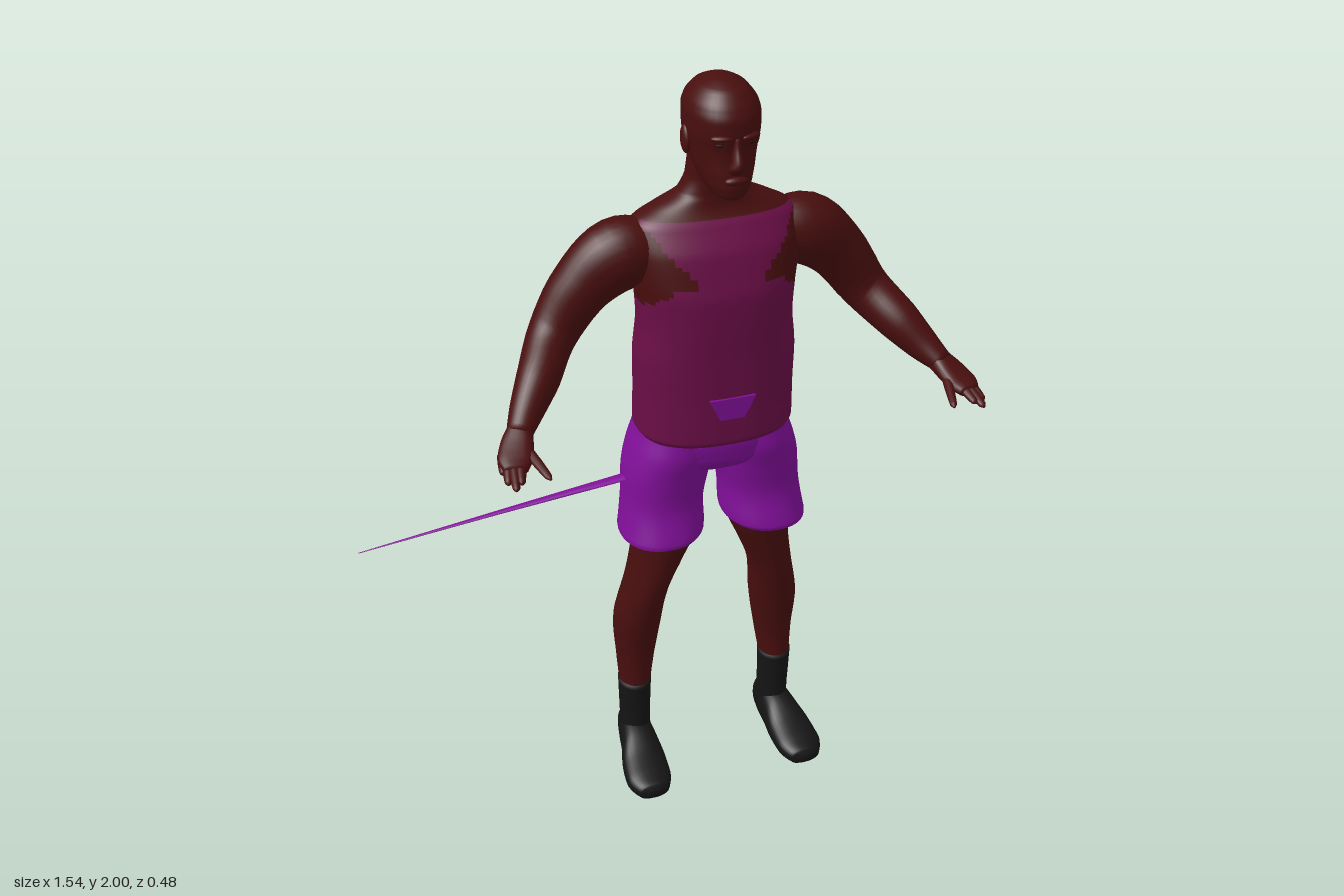
import * as THREE from 'three';

const mat = (name, color) =>
  Object.assign(new THREE.MeshStandardMaterial({ color, side: THREE.DoubleSide }), { name });

// Skin a smooth run of superellipse sections. Rows: [x, y, z, radiusA, radiusB].
// axis 'y': radii are x and z; axis 'z': radii are x and y; otherwise the path tangent is used.
function sweep(rows, { axis = '', n = 24, per = 5, p = 2, caps = true, pick = null } = {}) {
  const path = new THREE.CatmullRomCurve3(rows.map(r => new THREE.Vector3(r[0], r[1], r[2])));
  const size = new THREE.CatmullRomCurve3(rows.map(r => new THREE.Vector3(r[3], r[4], 0)));
  const steps = (rows.length - 1) * per;
  const pos = [], lists = [[], []];
  const X = new THREE.Vector3(1, 0, 0), Y = new THREE.Vector3(0, 1, 0), Z = new THREE.Vector3(0, 0, 1);
  const se = v => Math.sign(v) * Math.abs(v) ** (2 / p);
  for (let i = 0; i <= steps; i++) {
    const c = path.getPoint(i / steps), s = size.getPoint(i / steps);
    let A = X, B = Y, ra = s.x, rb = s.y;
    if (axis === 'y') { A = Z; B = X; ra = s.y; rb = s.x; }
    else if (axis !== 'z') {
      const d = path.getTangent(i / steps);
      A = new THREE.Vector3().crossVectors(Y, d).normalize();
      B = new THREE.Vector3().crossVectors(d, A);
    }
    for (let j = 0; j < n; j++) {
      const t = j / n * Math.PI * 2;
      const v = c.clone().addScaledVector(A, ra * se(Math.cos(t))).addScaledVector(B, rb * se(Math.sin(t)));
      pos.push(v.x, v.y, v.z);
    }
  }
  const at = k => new THREE.Vector3().fromArray(pos, k * 3);
  for (let i = 0; i < steps; i++) for (let j = 0; j < n; j++) {
    const a = i * n + j, b = i * n + (j + 1) % n, c = b + n, d = a + n;
    const mid = at(a).add(at(c)).multiplyScalar(0.5);
    lists[pick ? pick(mid) : 0].push(a, b, c, a, c, d);
  }
  if (caps) {
    const k = pos.length / 3, e = steps * n;
    pos.push(...path.getPoint(0).toArray(), ...path.getPoint(1).toArray());
    for (let j = 0; j < n; j++) {
      const q = (j + 1) % n;
      lists[0].push(k, q, j, k + 1, e + j, e + q);
    }
  }
  const g = new THREE.BufferGeometry();
  g.setAttribute('position', new THREE.Float32BufferAttribute(pos, 3));
  g.setIndex([...lists[0], ...lists[1]]);
  if (pick) {
    g.addGroup(0, lists[0].length, 0);
    g.addGroup(lists[0].length, lists[1].length, 1);
  }
  g.computeVertexNormals();
  return g;
}

export function createModel() {
  const skin = mat('skin', 0x480e0e), shirt = mat('shirt', 0x6a0e46);
  const purple = mat('shorts', 0x800f98), black = mat('black', 0x141414);
  const model = new THREE.Group();
  model.name = 'man';
  const body = new THREE.Group();
  body.name = 'body';
  body.position.x = 0.155;
  model.add(body);
  const add = (name, geo, m, parent = body) => {
    const mesh = new THREE.Mesh(geo, m);
    mesh.name = name;
    parent.add(mesh);
    return mesh;
  };
  const ball = (name, m, x, y, z, sx, sy, sz) => {
    const b = add(name, new THREE.SphereGeometry(1, 20, 14), m);
    b.position.set(x, y, z);
    b.scale.set(sx, sy, sz);
    return b;
  };

  // Torso: shirt below the neckline, bare skin at neck and arm openings
  const bare = v => {
    if (v.y > 1.662) return 1;
    const dx = Math.abs(v.x), front = v.z > -0.1;
    if (v.y > 1.515) return dx > (front ? 0.085 + (v.y - 1.525) * 0.85 : 0.16) ? 1 : 0;
    return v.y > 1.46 && dx > (front ? 0.13 + (1.515 - v.y) * 1.2 : 0.18) ? 1 : 0;
  };
  add('torso', sweep([
    [0, 1.085, -0.098, 0.197, 0.142], [0, 1.1, -0.098, 0.205, 0.147], [0, 1.2, -0.097, 0.204, 0.143],
    [0, 1.3, -0.095, 0.205, 0.139], [0, 1.4, -0.096, 0.195, 0.141], [0, 1.48, -0.098, 0.2, 0.141],
    [0, 1.53, -0.102, 0.208, 0.132], [0, 1.59, -0.107, 0.212, 0.118], [0, 1.65, -0.115, 0.203, 0.088],
    [0, 1.68, -0.118, 0.15, 0.07], [0, 1.71, -0.115, 0.09, 0.061], [0, 1.75, -0.11, 0.07, 0.057],
    [0, 1.81, -0.1, 0.066, 0.057],
  ], { axis: 'y', n: 72, per: 6, p: 2.4, pick: bare }), [shirt, skin]);

  // Belly patch
  const patch = new THREE.Shape([[-0.06, 1.22], [-0.032, 1.162], [0.032, 1.162], [0.06, 1.22]]
    .map(([x, y]) => new THREE.Vector2(x, y)));
  add('bellyPatch', new THREE.ExtrudeGeometry(patch, { depth: 0.008, bevelEnabled: false }), purple)
    .position.z = 0.043;

  // Head and face: rows give y, half width, front z, back z
  add('head', sweep([
    [1.732, 0.022, 0.026, -0.03], [1.74, 0.038, 0.036, -0.06], [1.765, 0.056, 0.041, -0.11],
    [1.8, 0.07, 0.039, -0.16], [1.85, 0.081, 0.035, -0.186], [1.885, 0.086, 0.042, -0.19],
    [1.92, 0.087, 0.041, -0.19], [1.95, 0.08, 0.028, -0.18], [1.98, 0.056, 0, -0.15],
    [1.995, 0.026, -0.036, -0.112], [2, 0.003, -0.072, -0.078],
  ].map(([y, w, f, b]) => [0, y, (f + b) / 2, w, (f - b) / 2]), { axis: 'y', n: 36, p: 2.2 }), skin);
  add('nose', sweep([
    [0, 1.8, 0.035, 0.014, 0.012], [0, 1.815, 0.042, 0.02, 0.02], [0, 1.83, 0.043, 0.015, 0.021],
    [0, 1.86, 0.036, 0.01, 0.014], [0, 1.885, 0.034, 0.008, 0.009],
  ], { axis: 'y', n: 14 }), skin);
  ball('lips', skin, 0, 1.783, 0.036, 0.028, 0.011, 0.014);
  for (const s of [1, -1]) {
    ball('ear', skin, s * 0.085, 1.855, -0.075, 0.011, 0.034, 0.021).rotation.x = -0.2;
    ball('eye', black, s * 0.034, 1.868, 0.025, 0.015, 0.005, 0.006).rotation.y = s * 0.35;
    ball('brow', skin, s * 0.035, 1.885, 0.03, 0.026, 0.008, 0.012).rotation.y = s * 0.35;
  }

  // Shorts: hips with two open legs
  add('shortsHips', sweep([
    [0, 1.1, -0.112, 0.194, 0.13], [0, 1.06, -0.112, 0.205, 0.134], [0, 1.02, -0.112, 0.2, 0.13],
    [0, 0.99, -0.11, 0.15, 0.11], [0, 0.97, -0.11, 0.08, 0.08],
  ].reverse(), { axis: 'y', n: 40, p: 2.4 }), purple);

  for (const s of [1, -1]) {
    const side = new THREE.Group();
    side.name = s > 0 ? 'leftLimbs' : 'rightLimbs';
    body.add(side);
    const m = rows => rows.map(([x, ...r]) => [s * x, ...r]);
    add('shortsLeg', sweep(m([
      [0.148, 0.782, -0.09, 0.105, 0.118], [0.142, 0.795, -0.092, 0.111, 0.121],
      [0.134, 0.88, -0.106, 0.107, 0.11], [0.122, 0.97, -0.112, 0.112, 0.122],
      [0.112, 1.03, -0.112, 0.106, 0.131], [0.104, 1.08, -0.112, 0.096, 0.126],
    ]), { axis: 'y', n: 36, p: 2.2, caps: false }), purple, side);
    add('leg', sweep(m([
      [0.21, 0.25, -0.12, 0.042, 0.05], [0.205, 0.35, -0.128, 0.053, 0.057],
      [0.198, 0.48, -0.125, 0.065, 0.075], [0.178, 0.6, -0.107, 0.059, 0.083],
      [0.15, 0.7, -0.1, 0.07, 0.09], [0.13, 0.78, -0.095, 0.083, 0.095], [0.12, 0.92, -0.1, 0.088, 0.1],
    ]), { axis: 'y', n: 28 }), skin, side);
    add('sock', sweep(m([
      [0.21, 0.06, -0.12, 0.045, 0.055], [0.21, 0.13, -0.122, 0.042, 0.052],
      [0.21, 0.2, -0.121, 0.044, 0.052], [0.21, 0.268, -0.12, 0.046, 0.053],
    ]), { axis: 'y', n: 24 }), black, side);
    add('shoe', sweep(m([
      [0.21, 0.055, -0.19, 0.014, 0.028], [0.21, 0.06, -0.18, 0.034, 0.054],
      [0.212, 0.064, -0.12, 0.046, 0.063], [0.216, 0.06, -0.06, 0.053, 0.058],
      [0.222, 0.046, 0, 0.063, 0.043], [0.226, 0.037, 0.06, 0.063, 0.034],
      [0.226, 0.033, 0.105, 0.043, 0.025], [0.226, 0.032, 0.117, 0.014, 0.01],
    ]), { axis: 'z', n: 28, p: 2.4 }), black, side);

    // Arm reaching out, down and forward
    add('arm', sweep(m([
      [0.16, 1.575, -0.112, 0.07, 0.075], [0.24, 1.57, -0.115, 0.084, 0.09], [0.33, 1.5, -0.12, 0.072, 0.076],
      [0.41, 1.39, -0.105, 0.06, 0.063], [0.47, 1.325, -0.02, 0.053, 0.055],
      [0.515, 1.275, 0.035, 0.042, 0.042], [0.548, 1.243, 0.085, 0.031, 0.027],
    ]), { n: 28 }), skin, side);
    add('palm', sweep(m([
      [0.54, 1.25, 0.07, 0.03, 0.027], [0.56, 1.23, 0.11, 0.04, 0.022],
      [0.573, 1.216, 0.145, 0.042, 0.018], [0.58, 1.206, 0.18, 0.028, 0.013],
    ]), { n: 20, p: 2.4 }), skin, side);
    const digits = [
      [[0.598, 1.215, 0.12], [0.608, 1.193, 0.168]], [[0.592, 1.213, 0.145], [0.606, 1.19, 0.208]],
      [[0.581, 1.211, 0.155], [0.594, 1.188, 0.236]], [[0.565, 1.213, 0.155], [0.578, 1.194, 0.222]],
      [[0.545, 1.228, 0.11], [0.512, 1.2, 0.232]],
    ];
    digits.forEach(([a, b], i) => add(i < 4 ? 'finger' : 'thumb', sweep(m([
      [...a, 0.013, 0.013], [...a.map((v, k) => (v + b[k]) / 2), 0.012, 0.011],
      [...b.map((v, k) => v * 0.9 + a[k] * 0.1), 0.009, 0.008], [...b, 0.003, 0.003],
    ]), { n: 10, per: 3 }), skin, side));
  }

  // Thin flat spike out of the right side of the shorts
  add('spike', sweep([
    [-0.04, 0.95, -0.105, 0.02, 0.006], [-0.4, 0.886, -0.137, 0.01, 0.003], [-0.77, 0.82, -0.165, 0.001, 0.001],
  ], { n: 8, per: 2 }), purple, model);
  return model;
}
